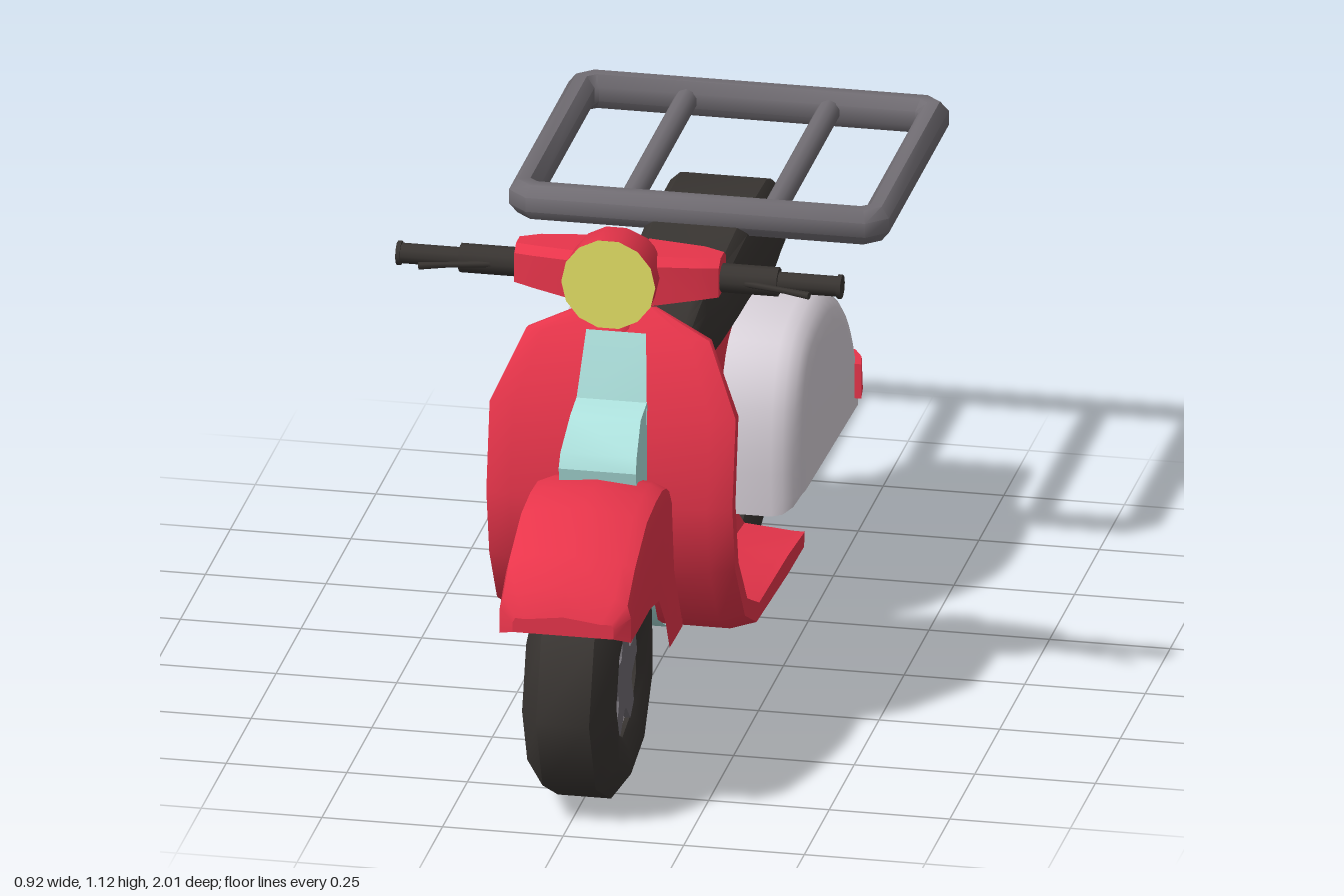
import * as THREE from 'three';
import { toCreasedNormals } from 'three/addons/utils/BufferGeometryUtils.js';

const mat = (name, color, side = THREE.FrontSide) => Object.assign(new THREE.MeshStandardMaterial({ color, side }), { name });

// Skin through rings of [x, y, z] points; faces are turned outward by signed volume
function loft(rings, { closed = true, caps = true, crease = 0.6 } = {}) {
  const n = rings[0].length, pos = rings.flat(2), idx = [];
  for (let i = 0; i < rings.length - 1; i++)
    for (let j = 0; j < (closed ? n : n - 1); j++) {
      const a = i * n + j, b = i * n + (j + 1) % n;
      idx.push(a, b, a + n, b, b + n, a + n);
    }
  if (caps) for (const end of [0, rings.length - 1]) {
    const c = pos.length / 3, r = rings[end];
    for (let k = 0; k < 3; k++) pos.push(r.reduce((s, p) => s + p[k], 0) / n);
    for (let j = 0; j < n; j++) {
      const a = end * n + j, b = end * n + (j + 1) % n;
      end ? idx.push(a, b, c) : idx.push(b, a, c);
    }
  }
  const v = (i) => new THREE.Vector3().fromArray(pos, i * 3);
  let volume = 0;
  for (let i = 0; i < idx.length; i += 3) volume += v(idx[i]).dot(v(idx[i + 1]).cross(v(idx[i + 2])));
  if (volume < 0) idx.reverse();
  const g = new THREE.BufferGeometry();
  g.setAttribute('position', new THREE.Float32BufferAttribute(pos, 3));
  g.setIndex(idx);
  return toCreasedNormals(g, crease);
}

// Side outline of [z, y] points, extruded from x0 to x1
function slab(points, x0, x1, bevel = 0, curved = false) {
  let p = points.map(([z, y]) => new THREE.Vector2(-z, y));
  if (curved) p = new THREE.SplineCurve(p).getPoints(28);
  const g = new THREE.ExtrudeGeometry(new THREE.Shape(p), {
    depth: x1 - x0 - 2 * bevel, bevelEnabled: bevel > 0, bevelSize: bevel, bevelThickness: bevel, bevelOffset: -bevel, bevelSegments: 4,
  });
  g.rotateY(Math.PI / 2).translate(x0 + bevel, 0, 0);
  return toCreasedNormals(g, 0.6);
}

// Cylinder between two points
function rod(a, b, r0, r1 = r0, sides = 10) {
  const A = new THREE.Vector3(...a), B = new THREE.Vector3(...b), d = B.clone().sub(A);
  const g = new THREE.CylinderGeometry(r1, r0, d.length(), sides);
  g.applyQuaternion(new THREE.Quaternion().setFromUnitVectors(new THREE.Vector3(0, 1, 0), d.normalize()));
  return g.translate(...A.add(B).multiplyScalar(0.5).toArray());
}

const lerp = (a, b, t) => a.map((v, i) => v + (b[i] - v) * t);

export function createModel() {
  const model = new THREE.Group();
  model.name = 'scooter';
  const red = mat('red paint', 0xe8354b, THREE.DoubleSide), teal = mat('pale teal', 0xaee2de, THREE.DoubleSide);
  const yellow = mat('yellow lens', 0xebe768), dark = mat('black rubber', 0x393532);
  const grey = mat('grey metal', 0x716d73), light = mat('light panel', 0xd8d1d9);
  const add = (name, geometry, material, parent = model) => {
    const m = new THREE.Mesh(geometry, material);
    m.name = name;
    parent.add(m);
    return m;
  };

  // Wheels: faceted tyre, pale rim and star-shaped hub
  function wheel(name, z, turn) {
    const g = new THREE.Group();
    g.name = name;
    g.position.set(0, 0.252, z);
    const profile = [[0.125, -0.075], [0.15, -0.09], [0.2, -0.095], [0.255, -0.055], [0.255, 0.055], [0.2, 0.095], [0.15, 0.09], [0.125, 0.075], [0.125, -0.075]];
    const tyre = new THREE.LatheGeometry(profile.map((p) => new THREE.Vector2(...p)), 9);
    add('tyre', toCreasedNormals(tyre.rotateZ(Math.PI / 2).rotateX(turn), 0.85), dark, g);
    add('rim', new THREE.CylinderGeometry(0.13, 0.13, 0.13, 9).rotateZ(Math.PI / 2).rotateX(turn), light, g);
    const star = [];
    for (let i = 0; i < 10; i++) {
      const a = i * Math.PI / 5, r = i % 2 ? 0.068 : 0.118, d = i % 2 ? 0.1 : 0.19;
      for (const s of [-d, d]) star.push([r * Math.sin(a + s), r * Math.cos(a + s)]);
    }
    add('star hub', slab(star, -0.078, 0.078), grey, g);
    model.add(g);
  }
  wheel('frontWheel', 0.752, 1.44);
  wheel('rearWheel', -0.437, 1.58);

  // Leg shield running into floorboard, with a raised centre spine:
  // [front/under point, edge, spine, half width, spine foot width, spine foot blend]
  const stations = [
    [[0.42, 0.93], [0.40, 0.925], [0.39, 0.92], 0.07, 0.6, 0.6],
    [[0.46, 0.88], [0.43, 0.875], [0.41, 0.87], 0.19, 0.55, 0.6],
    [[0.515, 0.735], [0.475, 0.73], [0.412, 0.73], 0.255, 0.5, 0.55],
    [[0.55, 0.55], [0.505, 0.55], [0.408, 0.54], 0.255, 0.5, 0.55],
    [[0.52, 0.40], [0.475, 0.41], [0.38, 0.42], 0.255, 0.5, 0.6],
    [[0.43, 0.26], [0.395, 0.30], [0.335, 0.36], 0.257, 0.52, 0.8],
    [[0.33, 0.205], [0.29, 0.25], [0.27, 0.345], 0.26, 0.52, 0.9],
    [[0, 0.182], [0, 0.24], [0.02, 0.345], 0.26, 0.52, 0.9],
    [[-0.17, 0.177], [-0.18, 0.22], [-0.12, 0.34], 0.257, 0.52, 0.9],
  ];
  add('leg shield and floor', loft(stations.map(([F, I, C, w, a, floor]) => {
    const half = [[0.8 * w, F], [w, lerp(F, I, 0.3)], [w, I], [w - 0.02, I], [a * w, lerp(C, I, floor)], [0.34 * w, C]];
    const ring = half.map(([x, [z, y]]) => [x, y, z]);
    return [...ring, ...ring.map(([x, y, z]) => [-x, y, z]).reverse()];
  }), { crease: 0.8 }), red);

  // Thin centre stripe down the shield and under the floor
  add('centre stripe', loft(stations.slice(1).map(([F], i) => {
    const o = i === 0 ? [F[0] + 0.008, F[1] + 0.012] : i < 5 ? [F[0] + 0.008, F[1] - 0.004] : [F[0], F[1] - 0.007];
    const w = [0.062, 0.075, 0.08][Math.min(i, 2)];
    return [[-w, o[1], o[0]], [w, o[1], o[0]]];
  }), { closed: false, caps: false }), teal);
  const horn = [[0.658, 0.66, 0.08], [0.645, 0.69, 0.079], [0.575, 0.745, 0.073], [0.51, 0.76, 0.073], [0.52, 0.57, 0.08], [0.645, 0.6, 0.08]];
  add('horn cover', loft([-1, 1].map((s) => horn.map(([z, y, w]) => [s * w, y, z]))), teal);

  // Front fender: inverted U sections of [z, top, bottom, half width]
  const fender = [[1, 0.475, 0.435, 0.105], [0.978, 0.525, 0.422, 0.136], [0.91, 0.578, 0.422, 0.137], [0.79, 0.632, 0.422, 0.137],
    [0.7, 0.642, 0.405, 0.137], [0.63, 0.64, 0.33, 0.136], [0.58, 0.625, 0.255, 0.134], [0.5, 0.58, 0.245, 0.13], [0.42, 0.38, 0.24, 0.128]];
  const arch = fender.map(([z, t, b, w]) => {
    const d = Math.min(0.05, (t - b) * 0.5);
    return [[-w, b, z], [-w, t - d, z], [-0.95 * w, t - d * 0.45, z], [-0.75 * w, t - 0.01, z], [0, t, z],
      [0.75 * w, t - 0.01, z], [0.95 * w, t - d * 0.45, z], [w, t - d, z], [w, b, z]];
  });
  add('front fender', loft(arch, { closed: false, caps: false, crease: 0.8 }), red);
  const nose = new THREE.Shape(arch[0].map(([x, y]) => new THREE.Vector2(x, y)));
  add('fender nose', new THREE.ShapeGeometry(nose).translate(0, 0, 1), red);

  // Rear hull, centre tail strip and side panels
  add('rear hull', slab([[0.01, 0.66], [-0.03, 0.6], [-0.058, 0.53], [-0.056, 0.41], [-0.03, 0.375], [0.02, 0.342], [0.02, 0.2], [-0.17, 0.2],
    [-0.22, 0.3], [-0.68, 0.3], [-0.7, 0.5], [-0.62, 0.63], [-0.45, 0.66]], -0.097, 0.097, 0.012), red);
  add('tail strip', slab([[-0.55, 0.64], [-0.63, 0.625], [-0.7, 0.555], [-0.74, 0.465], [-0.775, 0.33], [-0.745, 0.325], [-0.66, 0.4]], -0.07, 0.07, 0.012), red);
  const panel = [[-0.1, 0.28], [-0.098, 0.43], [-0.125, 0.55], [-0.2, 0.63], [-0.34, 0.653], [-0.47, 0.638], [-0.59, 0.575], [-0.68, 0.47], [-0.73, 0.36], [-0.742, 0.295]];
  const trim = [[0.06, 0.765], [0.2, 0.755], [0.25, 0.735], [0.27, 0.7], [0.278, 0.645], [0.24, 0.645], [0.05, 0.68]];
  for (const s of [-1, 1]) {
    add('side panel', slab(panel, s > 0 ? 0.03 : -0.264, s > 0 ? 0.264 : -0.03, 0.06, true), light);
    add('rear corner trim', loft([0.33, 0.405].map((y) => trim.map(([x, z]) => [s * x, y, -z + (y > 0.4 && z > 0.65 ? 0.012 : 0)]))), red);
  }
  const lamp = [[-0.61, 0.69], [-0.69, 0.68], [-0.75, 0.62], [-0.757, 0.56], [-0.72, 0.54], [-0.61, 0.61]];
  add('tail lamp', slab(lamp, -0.05, 0.05, 0.01), teal);

  // Seat sections: [z, half width, bottom, top]
  const seat = [[0.117, 0.05, 0.67, 0.725], [0.09, 0.085, 0.66, 0.765], [0.035, 0.1, 0.655, 0.82], [-0.02, 0.105, 0.653, 0.808],
    [-0.105, 0.11, 0.65, 0.79], [-0.33, 0.116, 0.645, 0.815], [-0.61, 0.12, 0.62, 0.81], [-0.648, 0.12, 0.63, 0.795]];
  add('seat', loft(seat.map(([z, w, b, t]) => {
    const h = t - b, half = [[0.9, 0], [1, 0.2], [1, 0.7], [0.92, 0.9], [0.75, 1]].map(([x, y]) => [x * w, b + y * h, z]);
    return [...half, ...half.map(([x, y, zz]) => [-x, y, zz]).reverse()];
  })), dark);

  // Luggage rack: chamfered tube frame with two bars
  const frame = [];
  for (let k = 0; k <= 8; k++) {
    const a = (k + 0.5) * Math.PI / 4, c = Math.cos(a), s = Math.sin(a), wide = Math.abs(c) > 0.7;
    const x = Math.sign(c) * (wide ? 0.365 : 0.34), z = -0.663 + Math.sign(s) * (wide ? 0.288 : 0.31);
    frame.push(Array.from({ length: 8 }, (_, j) => {
      const t = (j + 0.5) * Math.PI / 4, r = 0.034 * Math.cos(t);
      return [x + c * r, 0.829 + 0.04 * Math.sin(t), z + s * r];
    }));
  }
  add('rack frame', loft(frame, { caps: false, crease: 0.9 }), grey);
  for (const s of [-1, 1]) add('rack bar', rod([s * 0.148, 0.829, -0.355], [s * 0.148, 0.829, -0.97], 0.024), grey);

  // Steering head: neck, headlight shell and lens
  add('steering neck', rod([0, 0.86, 0.43], [0, 1.0, 0.375], 0.038), red);
  const shell = [[0.545, 0.097, 0.097, 1.025], [0.465, 0.094, 0.095, 1.026], [0.42, 0.087, 0.079, 1.02], [0.365, 0.074, 0.048, 1.012], [0.335, 0.055, 0.03, 1.008], [0.322, 0.025, 0.015, 1.005]];
  add('headlight shell', loft(shell.map(([z, rx, ry, y]) => Array.from({ length: 14 }, (_, j) => {
    const a = j * Math.PI / 7;
    return [rx * Math.cos(a), y + ry * Math.sin(a), z];
  })), { crease: 0.9 }), red);
  add('headlight lens', new THREE.CircleGeometry(0.0975, 14).translate(0, 1.025, 0.547), yellow);

  // Handlebar halves: red arm, grip, thin end and lever
  for (const s of [-1, 1]) {
    const arm = [[0.05, 0.96, 1.065, 0.36, 0.5], [0.17, 0.978, 1.063, 0.375, 0.48], [0.212, 0.982, 1.06, 0.39, 0.465]];
    add('handlebar arm', loft(arm.map(([x, b, t, z0, z1]) => [[s * x, b, z0], [s * x, b, z1], [s * x, t - 0.015, z1], [s * x, t, z1 - 0.02], [s * x, t, z0 + 0.02], [s * x, t - 0.015, z0]])), red);
    add('switch housing', rod([s * 0.2, 1.012, 0.43], [s * 0.33, 1.012, 0.43], 0.03), dark);
    add('grip', rod([s * 0.32, 1.012, 0.43], [s * 0.455, 1.012, 0.43], 0.021), dark);
    add('grip end', rod([s * 0.452, 1.012, 0.43], [s * 0.461, 1.012, 0.43], 0.025), dark);
    add('brake lever', rod([s * 0.25, 1.012, 0.45], [s * 0.35, 1.012, 0.475], 0.007, 0.006, 6), dark);
    add('brake lever tip', rod([s * 0.35, 1.012, 0.475], [s * 0.405, 1.012, 0.492], 0.006, 0.008, 6), dark);
  }
  return model;
}
